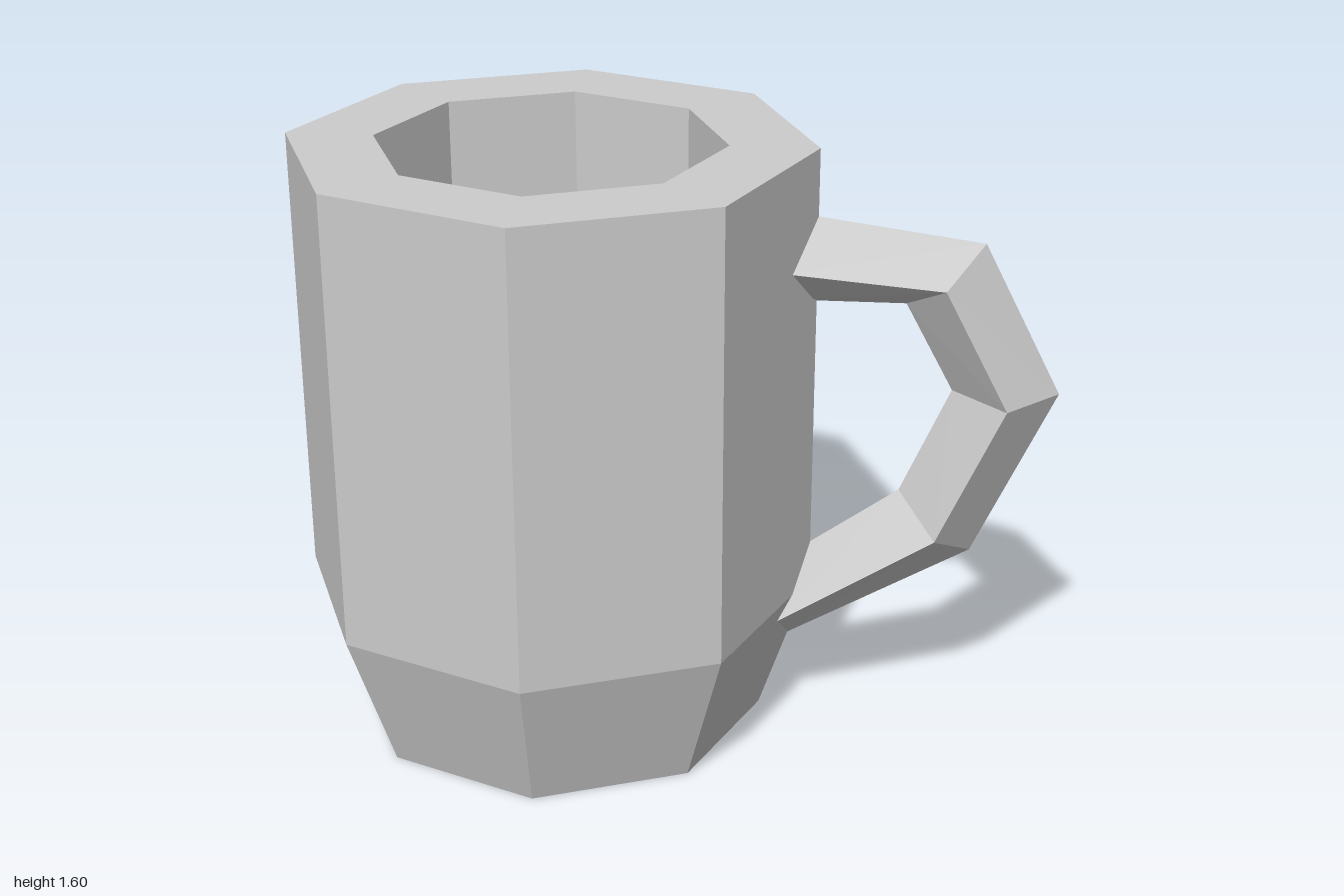
import * as THREE from 'three';

export function createModel() {
  const model = new THREE.Group();
  model.name = 'mug';
  const material = new THREE.MeshStandardMaterial({ color: 0xcccccc, flatShading: true });

  // Eight-sided body: tapered foot, straight wall, thick rim, bore and floor
  const profile = [
    [0, 0], [0.55, 0], [0.682, 0.39], [0.682, 1.6],
    [0.454, 1.6], [0.454, 0.25], [0, 0.25],
  ].map(([r, y]) => new THREE.Vector2(r, y));
  const body = new THREE.Mesh(new THREE.LatheGeometry(profile, 8), material);
  body.name = 'body';
  body.position.x = -0.318;
  model.add(body);

  // Handle: eight-sided ring of square section, sagging toward the body
  const ring = new THREE.TorusGeometry(0.57, 0.1375, 4, 8);
  const middle = [0.96, 0.932, 0.822, 0.71, 0.68]; // ring height by step from the outer tip
  const pos = ring.attributes.position;
  for (let i = 0; i < pos.count; i++) {
    const x = pos.getX(i), y = pos.getY(i);
    const step = Math.round(Math.abs(Math.atan2(y, x)) / (Math.PI / 4));
    pos.setXY(i, x + 0.288, y * 0.862 + middle[step]);
  }
  ring.computeVertexNormals();
  const handle = new THREE.Mesh(ring, material);
  handle.name = 'handle';
  model.add(handle);

  return model;
}
